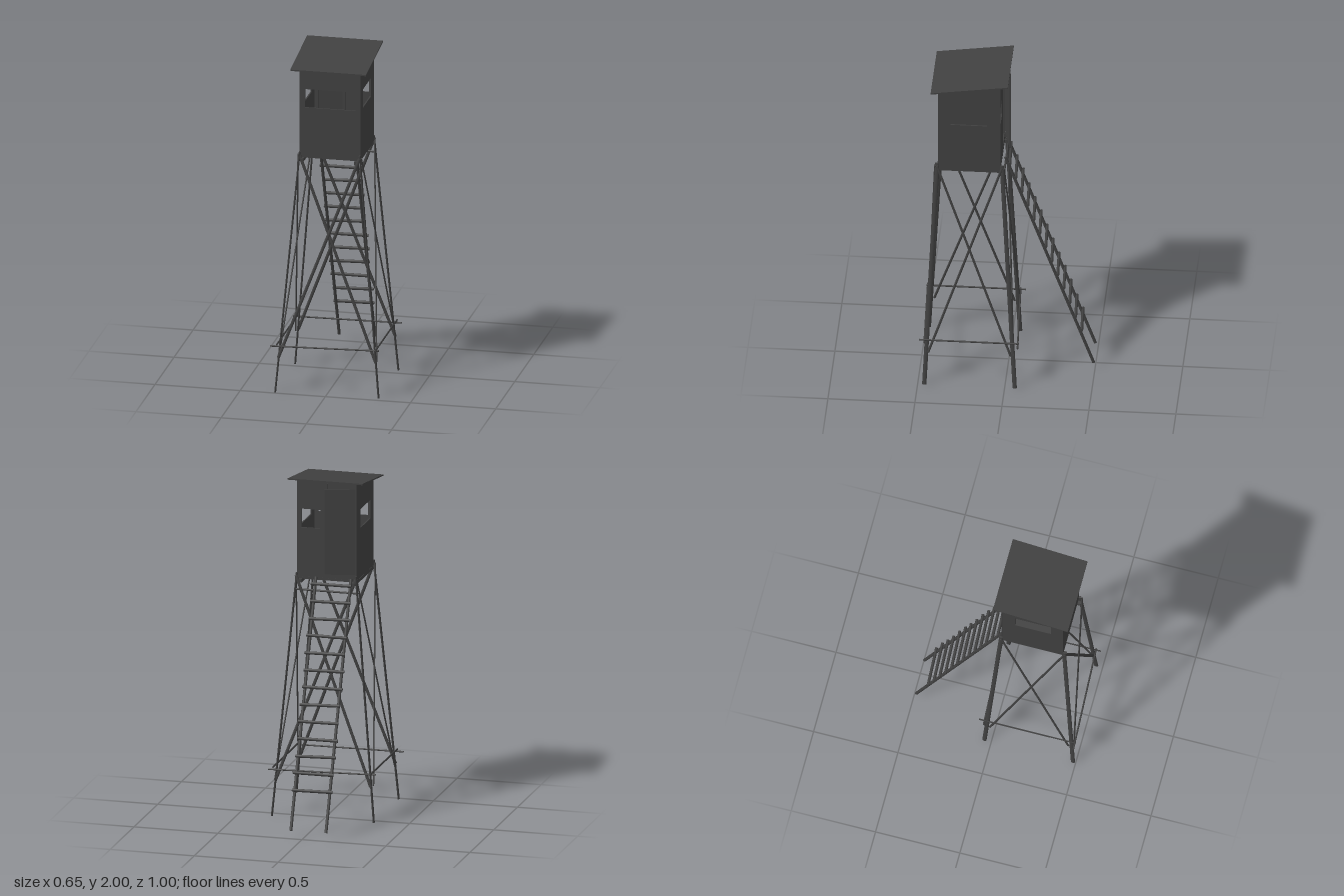
import * as THREE from 'three';

const wood = new THREE.MeshStandardMaterial({ color: 0x404040 });
wood.name = 'dark wood';
const V = (x, y, z) => new THREE.Vector3(x, y, z);

export function createModel() {
  const root = new THREE.Group();
  root.name = 'huntingTower';

  const group = (name) => {
    const g = new THREE.Group();
    g.name = name;
    root.add(g);
    return g;
  };
  const add = (parent, name, geo) => {
    const m = new THREE.Mesh(geo, wood);
    m.name = name;
    parent.add(m);
    return m;
  };
  // pole between two points, with radii across x and z when upright
  const pole = (parent, name, a, b, rx, rz = rx) => {
    const geo = new THREE.CylinderGeometry(1, 1, a.distanceTo(b), 8).scale(rx, 1, rz);
    const m = add(parent, name, geo);
    m.position.copy(a).lerp(b, 0.5);
    m.quaternion.setFromUnitVectors(V(0, 1, 0), b.clone().sub(a).normalize());
    return m;
  };
  const box = (parent, name, w, h, d, x, y, z) => {
    const m = add(parent, name, new THREE.BoxGeometry(w, h, d));
    m.position.set(x, y, z);
    return m;
  };
  // wall panel from an outline, with rectangular windows [u0, v0, u1, v1]
  const panel = (outline, windows, t) => {
    const pts = (list) => list.map(([u, v]) => new THREE.Vector2(u, v));
    const s = new THREE.Shape(pts(outline));
    for (const [u0, v0, u1, v1] of windows)
      s.holes.push(new THREE.Path(pts([[u0, v0], [u0, v1], [u1, v1], [u1, v0]])));
    return new THREE.ExtrudeGeometry(s, { depth: t, bevelEnabled: false });
  };

  // Legs, splayed outwards
  const legs = group('legs');
  const top = {}, foot = {};
  const footZ = { '-1,1': 0.484, '1,1': 0.462, '-1,-1': -0.041, '1,-1': -0.058 };
  for (const sx of [-1, 1]) for (const sz of [-1, 1]) {
    const k = `${sx},${sz}`;
    top[k] = V(0.003 + sx * 0.176, 1.435, sz > 0 ? 0.398 : 0.026);
    foot[k] = V(0.003 + sx * 0.301, 0, footZ[k]);
    pole(legs, 'leg', foot[k], top[k], 0.0055, 0.0125);
  }
  const onLeg = (k, y) => foot[k].clone().lerp(top[k], y / 1.435);

  // Horizontal rails around the legs
  const rails = group('lowerRails');
  pole(rails, 'frontRail', V(-0.325, 0.28, 0.492), V(0.305, 0.285, 0.462), 0.005);
  pole(rails, 'backRail', V(-0.31, 0.285, -0.043), V(0.32, 0.28, -0.075), 0.005);
  pole(rails, 'sideRail', V(-0.286, 0.292, -0.075), V(-0.286, 0.292, 0.497), 0.004, 0.006);
  pole(rails, 'sideRail', V(0.292, 0.295, -0.08), V(0.292, 0.295, 0.492), 0.004, 0.006);

  // Crossed braces: flat boards on all four sides
  const braces = group('crossBraces');
  const crosses = [
    { a: '-1,1', b: '1,1', out: V(0, 0, 0.012), rx: 0.009, rz: 0.005, inset: 0 },
    { a: '-1,-1', b: '1,-1', out: V(0, 0, -0.012), rx: 0.009, rz: 0.005, inset: 0 },
    { a: '-1,-1', b: '-1,1', out: V(-0.008, 0, 0), rx: 0.0045, rz: 0.007, inset: 0.02 },
    { a: '1,-1', b: '1,1', out: V(0.008, 0, 0), rx: 0.0045, rz: 0.007, inset: 0.012 },
  ];
  for (const { a, b, out, rx, rz, inset } of crosses)
    for (const [p, q, f, dir] of [[a, b, 1, 1], [b, a, 0.3, -1]]) {
      const off = out.clone().multiplyScalar(f);
      const low = onLeg(p, 0.21).add(off).add(V(0, 0, dir * inset));
      pole(braces, 'crossBrace', low, onLeg(q, 1.42).add(off), rx, rz);
    }

  // Ladder
  const ladder = group('ladder');
  pole(ladder, 'ladderRail', V(-0.139, 0.045, -0.486), V(-0.145, 1.42, 0.02), 0.009);
  pole(ladder, 'ladderRail', V(0.068, 0.045, -0.493), V(0.062, 1.42, 0.015), 0.009);
  for (let i = 0; i < 13; i++) {
    const y = 0.268 + i * 0.093, z = -0.419 + i * 0.0344;
    const tilt = 0.002 * Math.sin(i * 2.3), shift = 0.004 * Math.sin(i * 1.7);
    pole(ladder, 'rung', V(-0.156 + shift, y - tilt, z + 0.005), V(0.08 + shift, y + tilt, z - 0.006), 0.0095, 0.0085);
  }

  // Platform beams, joists and floor
  const platform = group('platform');
  for (const sx of [-1, 1]) box(platform, 'sideBeam', 0.02, 0.02, 0.4, sx * 0.158, 1.389, 0.21);
  for (const z of [0.045, 0.21, 0.375]) box(platform, 'joist', 0.345, 0.014, 0.022, 0.002, 1.404, z);
  pole(platform, 'ladderSupport', V(-0.185, 1.337, 0.02), V(0.185, 1.337, 0.02), 0.006);
  box(platform, 'floor', 0.35, 0.008, 0.352, 0.002, 1.413, 0.213);

  // Cabin walls
  const cabin = group('cabin');
  const t = 0.008, L = -0.175, R = 0.182, B = 0.035, F = 0.392, base = 1.408;
  const w0 = 1.702, w1 = 1.813;
  const roofY = (z) => 1.93 + (0.432 - z) * 0.14;
  add(cabin, 'frontWall', panel([[L, base], [R, base], [R, roofY(F)], [L, roofY(F)]],
    [[-0.143, w0, 0.154, w1]], t)).position.z = F - t;
  const bt = roofY(B) - 0.001;
  add(cabin, 'backWall', panel([[L, base], [R, base], [R, bt], [0, bt], [0, 1.447], [-0.145, 1.447],
    [-0.145, bt], [L, bt]], [[0.04, w0, 0.154, w1]], t)).position.z = B;
  const side = panel([[B, base], [F, base], [F, roofY(F)], [B, roofY(B)]],
    [[0.11, w0, 0.322, w1]], t).rotateY(-Math.PI / 2);
  add(cabin, 'sideWall', side).position.x = R;
  add(cabin, 'sideWall', side).position.x = L + t;
  box(cabin, 'doorPost', 0.014, 0.55, 0.014, 0.008, 1.692, 0.05);

  // Door, standing slightly ajar
  const door = group('door');
  door.position.set(-0.17, 1.698, 0.031);
  door.rotation.y = 0.22;
  box(door, 'doorPanel', 0.178, 0.508, 0.008, 0.089, 0, 0);
  box(door, 'doorHandle', 0.008, 0.01, 0.002, 0.16, -0.02, -0.0045);

  // Sloping roof
  const roof = add(root, 'roof', panel([[-0.011, roofY(-0.011)], [0.432, roofY(0.432)],
    [0.432, roofY(0.432) + 0.008], [-0.011, 2]], [], 0.445).rotateY(-Math.PI / 2));
  roof.position.x = 0.224;

  return root;
}
